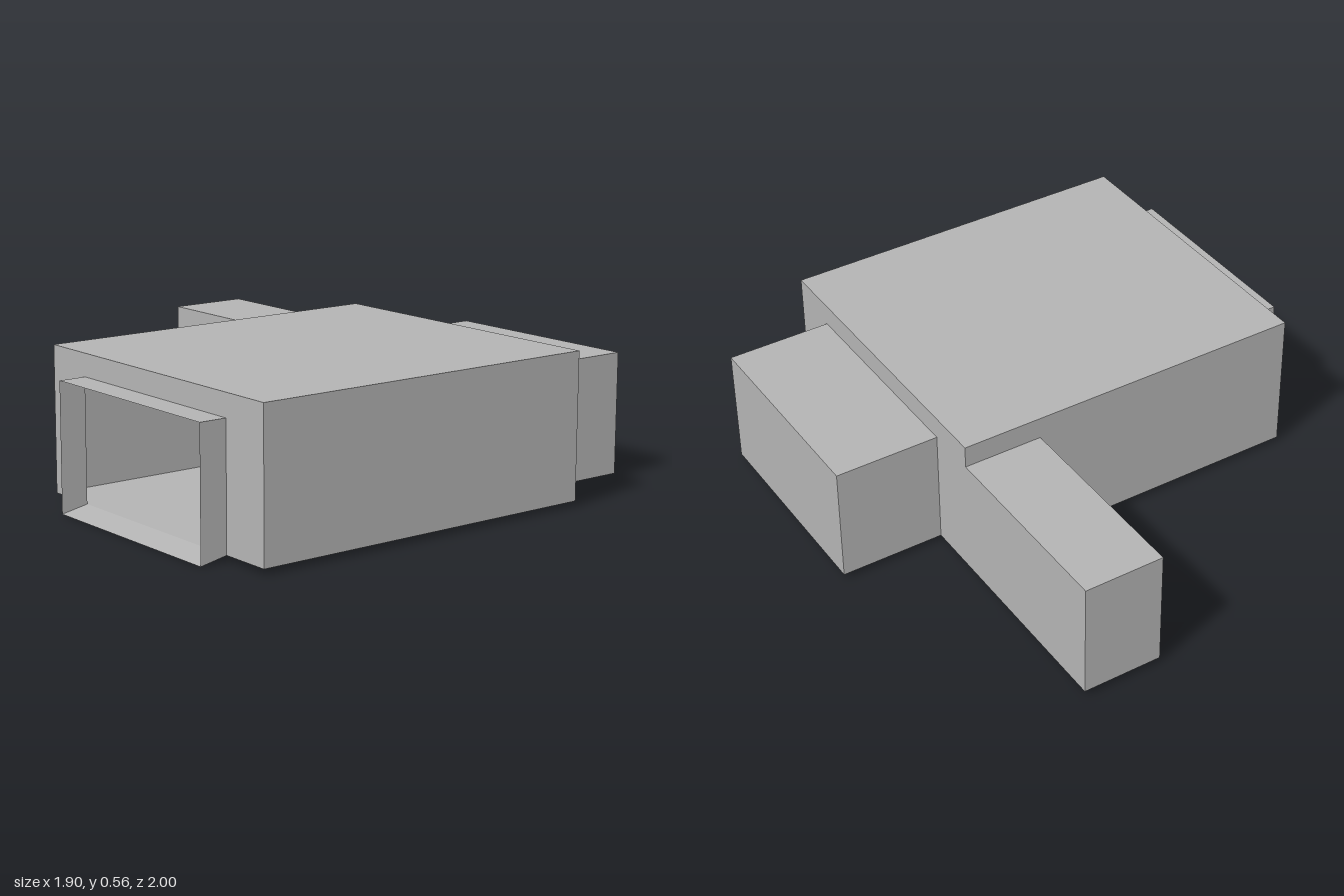
import * as THREE from 'three';
import { mergeGeometries } from 'three/addons/utils/BufferGeometryUtils.js';

const FLOOR = 0.02, ROOF = 0.565, DOOR = 0.48;

// Flat four-cornered face, corners anticlockwise from outside.
function quad(a, b, c, d) {
  const g = new THREE.BufferGeometry();
  g.setAttribute('position', new THREE.Float32BufferAttribute([a, b, c, d].flat(), 3));
  g.setIndex([0, 1, 2, 0, 2, 3]);
  g.computeVertexNormals();
  return g;
}

// Plan point [x, z] lifted to height y.
const at = (p, y) => [p[0], y, p[1]];
const move = (p, d) => [p[0] + d[0], p[1] + d[1]];

// Upright panel from plan point a to b; each foot may have its own height.
const panel = (a, b, top, footA = FLOOR, footB = FLOOR, bottom = true) =>
  quad(at(a, footA), at(b, footB), at(b, top), at(a, top));

// Full-height wall from a to b with a doorway between p and q.
function doorWall(a, b, p, q) {
  const parts = [quad(at(p, DOOR), at(q, DOOR), at(q, ROOF), at(p, ROOF))];
  if (a.join() !== p.join()) parts.push(panel(a, p, ROOF));
  if (b.join() !== q.join()) parts.push(panel(q, b, ROOF));
  return mergeGeometries(parts);
}

// Hollow passage leaving doorway p-q by offset d, with an optional end wall.
function passage(p, q, d, capped, endFloor = FLOOR) {
  const pe = move(p, d), qe = move(q, d);
  const parts = [
    panel(p, pe, DOOR, FLOOR, endFloor),
    panel(qe, q, DOOR, endFloor, FLOOR),
    quad(at(pe, DOOR), at(qe, DOOR), at(q, DOOR), at(p, DOOR)),
    quad(at(p, FLOOR), at(q, FLOOR), at(qe, endFloor), at(pe, endFloor)),
  ];
  if (capped) parts.push(panel(pe, qe, DOOR, endFloor, endFloor));
  return mergeGeometries(parts);
}

export function createModel() {
  const group = new THREE.Group();
  const grey = new THREE.MeshStandardMaterial({ color: 0xb3b3b3, side: THREE.DoubleSide });
  grey.name = 'plain grey';
  const add = (name, geometry) => {
    const mesh = new THREE.Mesh(geometry, grey);
    mesh.name = name;
    group.add(mesh);
  };

  // Corners of the main room
  const fl = [-0.85, 1], fr = [0.545, 1], br = [0.545, -0.23], bl = [-0.85, -0.23];
  // Doorways, each as a pair of plan points
  const side = [[0.545, 0.8], [0.545, -0.03]];
  const back = [br, [0.235, -0.23]];
  const entry = [[-0.85, -0.03], [-0.85, 0.8]];

  // Main hollow room
  add('roof', quad(at(fl, ROOF), at(fr, ROOF), at(br, ROOF), at(bl, ROOF)));
  add('floor', quad(at(bl, FLOOR), at(br, FLOOR), at(fr, FLOOR), at(fl, FLOOR)));
  add('frontWall', panel(fl, fr, ROOF));
  add('leftWall', doorWall(fr, br, ...side));
  add('backWall', doorWall(br, bl, ...back));
  add('rightWall', doorWall(bl, fl, ...entry));

  // Closed wings and the open entrance with its sloping sill
  add('sideWing', passage(...side, [0.405, 0], true));
  add('backWing', passage(...back, [0, -0.77], true));
  add('entranceFrame', passage(...entry, [-0.105, 0], false, 0));

  return group;
}
